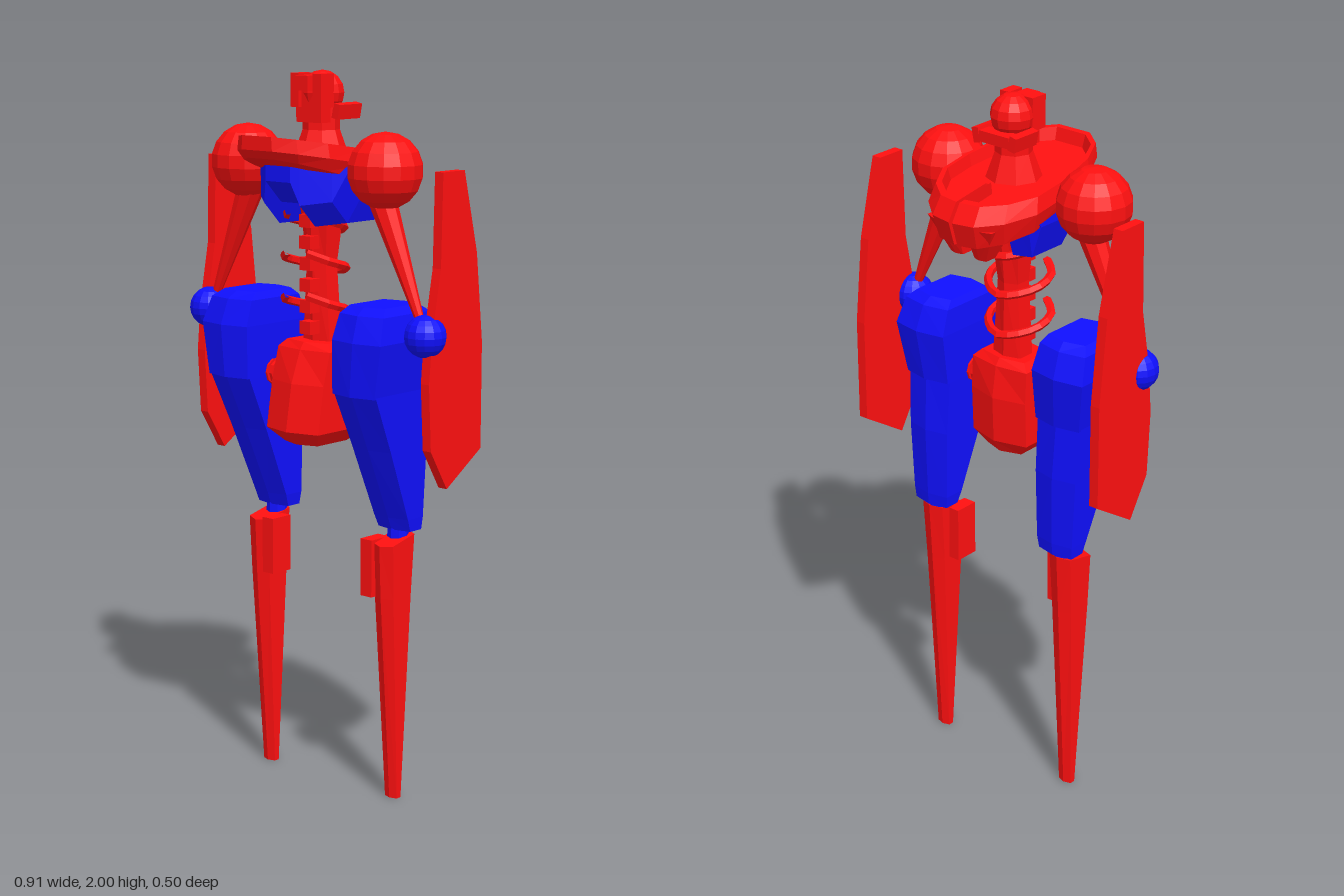
import * as THREE from 'three';

const red = new THREE.MeshStandardMaterial({ color: 0xff1010, flatShading: true });
const blue = new THREE.MeshStandardMaterial({ color: 0x1010ff, flatShading: true });

function add(parent, name, geo, mat, x = 0, y = 0, z = 0) {
  const m = new THREE.Mesh(geo, mat);
  m.name = name;
  m.position.set(x, y, z);
  parent.add(m);
  return m;
}

const box = (parent, name, mat, x0, x1, y0, y1, z0, z1) =>
  add(parent, name, new THREE.BoxGeometry(Math.abs(x1 - x0), y1 - y0, z1 - z0), mat,
    (x0 + x1) / 2, (y0 + y1) / 2, (z0 + z1) / 2);

// Skin a stack of equal-length rings of [x, y, z], capped at both ends and turned outward
function loft(rings) {
  const n = rings[0].length, pos = rings.flat(2), tris = [];
  for (let r = 0; r < rings.length - 1; r++)
    for (let i = 0; i < n; i++) {
      const a = r * n + i, b = r * n + (i + 1) % n;
      tris.push([a, b, b + n], [a, b + n, a + n]);
    }
  [0, rings.length - 1].forEach((r, end) => {
    const c = pos.length / 3;
    for (let k = 0; k < 3; k++) pos.push(rings[r].reduce((s, p) => s + p[k], 0) / n);
    for (let i = 0; i < n; i++) {
      const a = r * n + i, b = r * n + (i + 1) % n;
      tris.push(end ? [a, b, c] : [b, a, c]);
    }
  });
  const v = (i) => new THREE.Vector3(pos[3 * i], pos[3 * i + 1], pos[3 * i + 2]);
  const volume = tris.reduce((s, [a, b, c]) => s + v(a).dot(v(b).cross(v(c))), 0);
  if (volume < 0) tris.forEach((t) => t.reverse());
  const g = new THREE.BufferGeometry();
  g.setAttribute('position', new THREE.Float32BufferAttribute(pos, 3));
  g.setIndex(tris.flat());
  const flat = g.toNonIndexed();
  flat.computeVertexNormals();
  return flat;
}

// Six-sided section with a ridge down the middle of its front and back
function ridged(s, y, x0, x1, z0, z1, ridge = 0.015) {
  const xm = (x0 + x1) / 2;
  return [[x0, z0 + ridge], [xm, z0], [x1, z0 + ridge], [x1, z1 - ridge], [xm, z1], [x0, z1 - ridge]]
    .map(([x, z]) => [s * x, y, z]);
}

function rod(parent, name, mat, from, to, r0, r1, sides = 8) {
  const a = new THREE.Vector3(...from), b = new THREE.Vector3(...to);
  const m = add(parent, name, new THREE.CylinderGeometry(r1, r0, a.distanceTo(b), sides), mat);
  m.position.copy(a).add(b).multiplyScalar(0.5);
  m.quaternion.setFromUnitVectors(new THREE.Vector3(0, 1, 0), b.sub(a).normalize());
  return m;
}

function buildCollar(parent) {
  // Egg-shaped dish, notched at the back
  const half = [[0.055, 0.25], [0.11, 0.21], [0.15, 0.13], [0.174, 0], [0.172, -0.11],
    [0.13, -0.19], [0.07, -0.24], [0.006, -0.25], [0.005, -0.12]];
  const egg = [...half, ...half.slice().reverse().map(([x, z]) => [-x, z])];
  const ring = (sx, front, back, y0, slope) => egg.map(([x, z]) => {
    const zz = z * (z > 0 ? front : back);
    return [x * sx, y0 + slope * zz, zz];
  });
  add(parent, 'collar', loft([
    ring(0.7, 0.6, 0.74, 1.7, 0.3),
    ring(0.9, 0.93, 0.92, 1.71, 0.28),
    ring(1, 1, 1, 1.755, 0.17),
    ring(0.95, 1, 0.88, 1.795, 0.16),
    ring(0.89, 0.94, 0.8, 1.795, 0.16),
    ring(0.85, 0.9, 0.76, 1.762, 0.16),
  ]), red);
  // Flaps hanging below the back of the collar
  for (const s of [1, -1])
    add(parent, 'backFlap', loft([
      ridged(s, 1.6, 0.02, 0.06, -0.185, -0.14, 0.005),
      ridged(s, 1.7, 0.01, 0.11, -0.235, -0.1, 0.02),
    ]), red);
}

function buildChest(parent) {
  // Faceted band below the collar, open in the middle
  const profile = (x, low, zf) => [[x, 1.76, zf], [x, low + 0.06, zf], [x, low, zf - 0.06], [x, low, -0.08], [x, 1.72, -0.1]];
  add(parent, 'chest', loft([
    profile(-0.16, 1.69, 0.06), profile(-0.13, 1.6, 0.1), profile(-0.065, 1.59, 0.155), profile(-0.045, 1.65, 0.17),
    profile(0.045, 1.65, 0.17), profile(0.065, 1.59, 0.155), profile(0.13, 1.6, 0.1), profile(0.16, 1.69, 0.06),
  ]), blue);
}

function buildHead(parent) {
  const head = new THREE.Group();
  head.name = 'head';
  parent.add(head);
  add(head, 'neckBase', new THREE.CylinderGeometry(0.05, 0.075, 0.07, 8), red, 0, 1.805, 0);
  add(head, 'neck', new THREE.CylinderGeometry(0.05, 0.05, 0.08, 8), red, 0, 1.87, 0);
  add(head, 'skull', new THREE.SphereGeometry(0.06, 12, 8), red, 0, 1.938, -0.005);
  box(head, 'face', red, -0.045, 0.045, 1.86, 1.95, 0, 0.05);
  box(head, 'brow', red, -0.022, 0.022, 1.945, 1.985, 0.01, 0.078);
  for (const s of [1, -1]) {
    box(head, 'cheek', red, s * 0.025, s * 0.055, 1.9, 1.99, 0.01, 0.062);
    box(head, 'earPiece', red, s * 0.05, s * 0.072, 1.87, 1.91, -0.08, 0.01).rotation.z = -s * 0.2;
  }
  box(head, 'napeGuard', red, -0.05, 0.05, 1.875, 1.905, -0.08, -0.04);
}

function buildSpine(parent) {
  const spine = new THREE.Group();
  spine.name = 'spine';
  parent.add(spine);
  add(spine, 'column', loft([
    ridged(1, 1.24, -0.05, 0.05, -0.045, 0.035),
    ridged(1, 1.48, -0.035, 0.035, -0.04, 0.035),
    ridged(1, 1.7, -0.055, 0.055, -0.06, 0.05),
  ]), red);
  for (let i = 0; i < 7; i++) {
    const y = 1.29 + i * 0.058;
    box(spine, 'vertebra', red, -0.02, 0.02, y, y + 0.035, 0.02, 0.066);
  }
  // Ribs curl round from the back and rise to open tips at the front
  const curve = new THREE.CatmullRomCurve3([[-0.035, 0.03, 0.095], [-0.08, 0.01, 0.06], [-0.08, -0.01, -0.01], [0, -0.03, -0.065],
    [0.08, -0.01, -0.01], [0.08, 0.01, 0.06], [0.035, 0.03, 0.095]].map((p) => new THREE.Vector3(...p)));
  [[1.37, 1], [1.485, 1], [1.595, 0.9]].forEach(([y, k]) => {
    const rib = add(spine, 'rib', new THREE.TubeGeometry(curve, 16, 0.012, 5), red, 0, y, 0);
    rib.scale.x = k;
  });
}

function buildPelvis(parent) {
  add(parent, 'pelvis', loft([
    ridged(1, 0.99, -0.06, 0.06, -0.06, 0.1, 0.02),
    ridged(1, 1.03, -0.095, 0.095, -0.085, 0.142, 0.025),
    ridged(1, 1.16, -0.095, 0.095, -0.09, 0.12, 0.025),
    ridged(1, 1.25, -0.095, 0.095, -0.075, 0.085, 0.015),
    ridged(1, 1.27, -0.075, 0.075, -0.06, 0.07, 0.015),
  ]), red);
}

function buildArm(parent, s) {
  const arm = new THREE.Group();
  arm.name = s > 0 ? 'leftArm' : 'rightArm';
  parent.add(arm);
  add(arm, 'shoulder', new THREE.SphereGeometry(0.102, 14, 9), red, s * 0.25, 1.745, 0.025);
  rod(arm, 'upperArm', red, [s * 0.24, 1.67, 0.025], [s * 0.385, 1.34, 0.028], 0.038, 0.01);
  add(arm, 'elbow', new THREE.SphereGeometry(0.057, 14, 10), blue, s * 0.397, 1.323, 0.032);
  // Flat shield on the outside of the arm
  const outline = [[0.002, 1.75], [-0.085, 1.75], [-0.14, 1.53], [-0.166, 1.29], [-0.166, 1],
    [-0.025, 0.91], [0.042, 1.02], [0.052, 1.2], [0.04, 1.33], [0.008, 1.5]];
  const plate = (x, k) => outline.map(([z, y]) => [s * x, 1.33 + (y - 1.33) * k, -0.05 + (z + 0.05) * k]);
  add(arm, 'shield', loft([plate(0.4, 1), plate(0.428, 1)]), red);
}

function buildLeg(parent, s) {
  const leg = new THREE.Group();
  leg.name = s > 0 ? 'leftLeg' : 'rightLeg';
  parent.add(leg);
  rod(leg, 'hipAxle', red, [s * 0.08, 1.165, 0.02], [s * 0.19, 1.165, 0.02], 0.024, 0.024, 10);
  for (let i = 0; i < 4; i++)
    rod(leg, 'axleRing', red, [s * (0.1 + i * 0.017), 1.165, 0.02], [s * (0.109 + i * 0.017), 1.165, 0.02], 0.037, 0.037, 10);
  add(leg, 'hip', loft([
    ridged(s, 1.155, 0.157, 0.305, -0.11, 0.143),
    ridged(s, 1.3, 0.157, 0.328, -0.127, 0.145),
    ridged(s, 1.37, 0.162, 0.315, -0.1, 0.12),
    ridged(s, 1.39, 0.172, 0.295, -0.075, 0.09),
  ]), blue);
  add(leg, 'thigh', loft([
    ridged(s, 0.765, 0.17, 0.284, -0.105, -0.035, 0.012),
    ridged(s, 0.8, 0.165, 0.287, -0.108, -0.022, 0.012),
    ridged(s, 1, 0.16, 0.297, -0.112, 0.065),
    ridged(s, 1.165, 0.157, 0.306, -0.1, 0.14),
  ]), blue);
  rod(leg, 'knee', blue, [s * 0.228, 0.7, -0.06], [s * 0.228, 0.8, -0.065], 0.03, 0.03);
  // Tapered shin with a top that slopes up toward the back
  const shinTop = ridged(s, 0, 0.197, 0.27, -0.096, 0.022).map(([x, , z]) => [x, 0.733 - z * 0.23, z]);
  add(leg, 'shin', loft([
    ridged(s, 0, 0.212, 0.255, -0.055, -0.025, 0.007),
    ridged(s, 0.58, 0.2, 0.267, -0.086, 0.016),
    shinTop,
  ]), red);
  box(leg, 'kneeGuard', red, s * 0.165, s * 0.205, 0.58, 0.74, -0.05, 0.022);
}

export function createModel() {
  const model = new THREE.Group();
  model.name = 'robot';
  buildHead(model);
  buildCollar(model);
  buildChest(model);
  buildSpine(model);
  buildPelvis(model);
  for (const s of [1, -1]) {
    buildArm(model, s);
    buildLeg(model, s);
  }
  return model;
}
